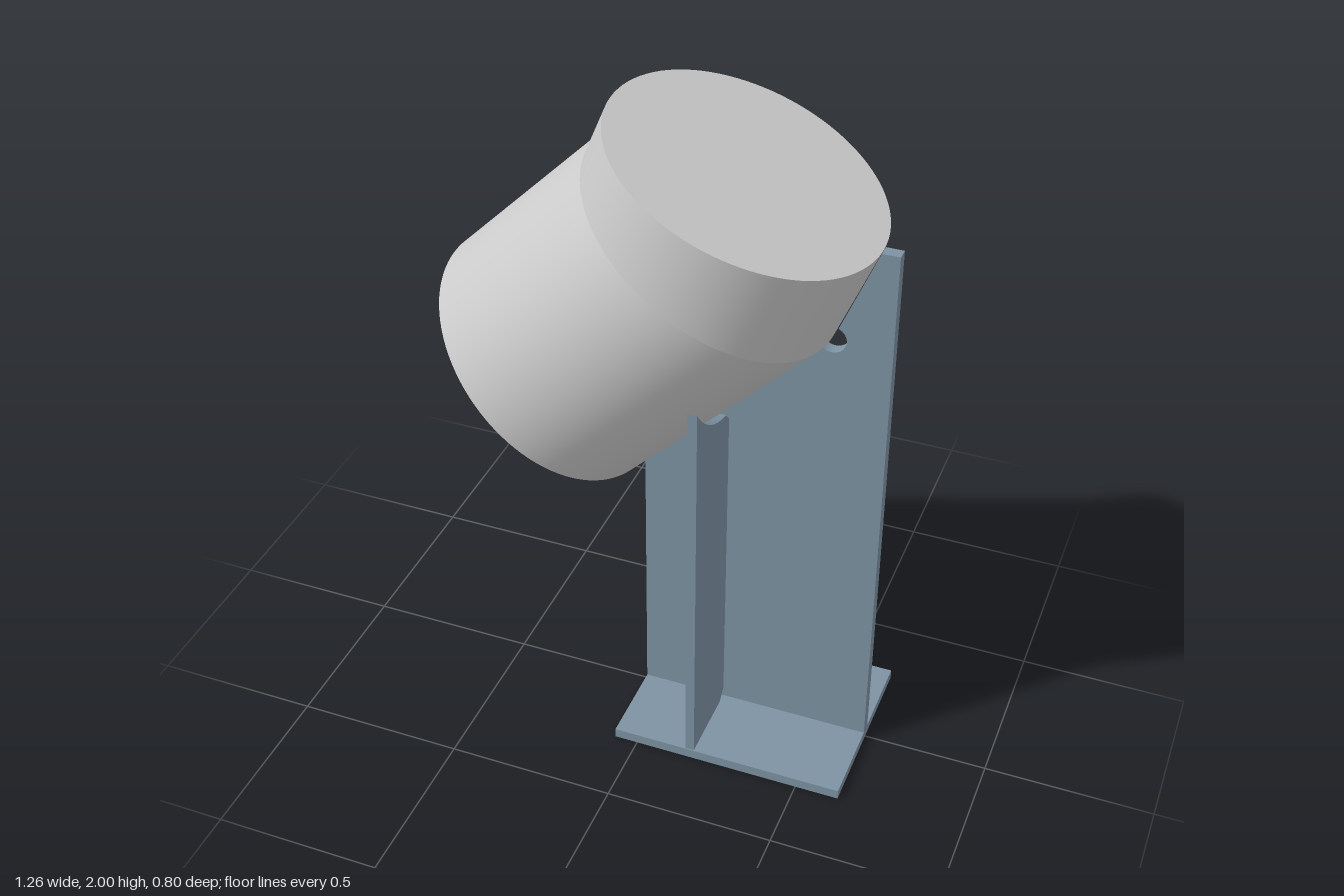
import * as THREE from 'three';

const R = 0.398;
const MITRE = Math.tan(Math.PI / 16);

export function createModel() {
  const model = new THREE.Group();
  const steel = new THREE.MeshStandardMaterial({ color: 0x7d92a2 });
  const grey = new THREE.MeshStandardMaterial({ color: 0xcccccc });

  const add = (name, geometry, material, parent = model) => {
    const mesh = new THREE.Mesh(geometry, material);
    mesh.name = name;
    parent.add(mesh);
    return mesh;
  };

  // Pipe piece: flat cap at its origin, slanted mitre at the other end (dir = +1 up, -1 down)
  const pipe = (name, x, y, angle, length, dir) => {
    const group = new THREE.Group();
    group.name = name;
    const wall = new THREE.CylinderGeometry(R, R, 1, 96, 1, true);
    const p = wall.attributes.position;
    for (let i = 0; i < p.count; i++) {
      const atMitre = p.getY(i) * dir > 0;
      p.setY(i, atMitre ? dir * (length + MITRE * p.getX(i)) : 0);
    }
    add(name + 'Wall', wall, grey, group);
    const cap = new THREE.CircleGeometry(R, 96).rotateX(dir * Math.PI / 2);
    add(name + 'Cap', cap, grey, group);
    group.position.set(x, y, 0);
    group.rotation.z = -angle;
    model.add(group);
  };
  pipe('lowerPipe', -0.3525, 1.155, Math.PI / 4, 0.674, 1);
  pipe('upperPipe', 0.2125, 1.845, Math.PI / 8, 0.232, -1);

  // Base plate
  add('basePlate', new THREE.BoxGeometry(0.7, 0.03, 0.55), steel).position.set(0.28, 0.015, 0);

  // Main web, cut to the underside of the bend with a round relief at the mitre
  const web = new THREE.Shape();
  web.moveTo(-0.07, 0.03);
  web.lineTo(0.63, 0.03);
  web.lineTo(0.63, 1.69);
  web.lineTo(0.58, 1.69);
  web.absarc(0.463, 1.403, 0.04, Math.PI * 0.375, -Math.PI * 0.75, true);
  web.lineTo(-0.07, 0.875);
  const webGeometry = new THREE.ExtrudeGeometry(web, { depth: 0.036, bevelEnabled: false, curveSegments: 24 });
  add('mainWeb', webGeometry.translate(0, 0, -0.018), steel);

  // Cross ribs: clipped inner corners and a top edge coped around the pipe
  for (const side of [-1, 1]) {
    const rib = new THREE.Shape();
    rib.moveTo(side * 0.05, 0.03);
    rib.lineTo(side * 0.272, 0.03);
    for (let i = 0; i <= 16; i++) {
      const z = 0.272 - (0.272 - 0.045) * i / 16;
      rib.lineTo(side * z, 1.1 + (R - Math.sqrt(R * R - z * z)) * Math.SQRT2);
    }
    rib.lineTo(side * 0.018, 1.075);
    rib.lineTo(side * 0.018, 0.062);
    const geometry = new THREE.ExtrudeGeometry(rib, { depth: 0.027, bevelEnabled: false });
    geometry.rotateY(Math.PI / 2).translate(0.154, 0, 0);
    add(side < 0 ? 'frontRib' : 'backRib', geometry, steel);
  }

  return model;
}
